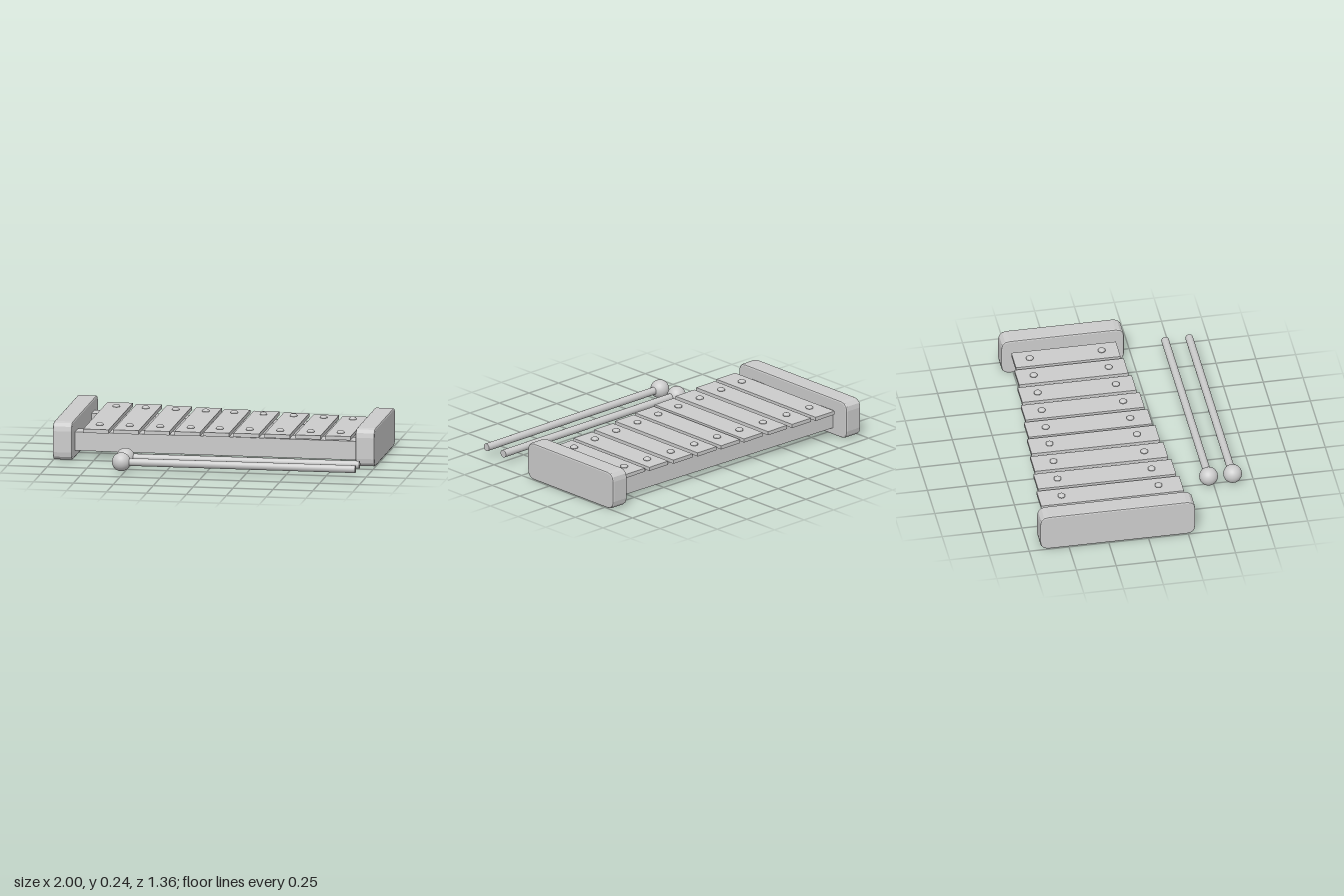
import * as THREE from 'three';

const material = new THREE.MeshStandardMaterial({ color: 0xcccccc });
const flatMaterial = new THREE.MeshStandardMaterial({ color: 0xcccccc, flatShading: true });
const lerp = THREE.MathUtils.lerp;

function add(parent, name, geometry, x, y, z, mat = material) {
  const mesh = new THREE.Mesh(geometry, mat);
  mesh.name = name;
  mesh.position.set(x, y, z);
  parent.add(mesh);
  return mesh;
}

// Upright end block: rounded profile across z and y, with a slight bevel on both faces
function endBlock(parent, name, x, zBack, zFront) {
  const bevel = 0.01, height = 0.24, width = 0.12, r = 0.045;
  const w = (zFront - zBack) / 2 - bevel, h = height / 2 - bevel;
  const shape = new THREE.Shape();
  shape.moveTo(-w + r, -h);
  shape.lineTo(w - r, -h);
  shape.quadraticCurveTo(w, -h, w, -h + r);
  shape.lineTo(w, h - r);
  shape.quadraticCurveTo(w, h, w - r, h);
  shape.lineTo(-w + r, h);
  shape.quadraticCurveTo(-w, h, -w, h - r);
  shape.lineTo(-w, -h + r);
  shape.quadraticCurveTo(-w, -h, -w + r, -h);
  const geometry = new THREE.ExtrudeGeometry(shape, {
    depth: width - 2 * bevel, bevelThickness: bevel, bevelSize: bevel, bevelSegments: 2, curveSegments: 3,
  });
  geometry.translate(0, 0, -width / 2 + bevel);
  geometry.rotateY(Math.PI / 2);
  add(parent, name, geometry, x, height / 2, (zBack + zFront) / 2, flatMaterial);
}

// Rail running between the blocks, sheared so its ends stay square to x
function rail(parent, name, zLeft, zRight) {
  const geometry = new THREE.BoxGeometry(1.8, 0.118, 0.115);
  const p = geometry.attributes.position;
  for (let i = 0; i < p.count; i++) {
    const t = p.getX(i) / 1.8 + 0.5;
    p.setY(i, p.getY(i) + lerp(0.104, 0.083, t));
    p.setZ(i, p.getZ(i) + lerp(zLeft, zRight, t));
  }
  geometry.computeVertexNormals();
  add(parent, name, geometry, 0, 0, 0);
}

// Mallet lying along x: ball head on a round stick
function mallet(parent, z) {
  const group = new THREE.Group();
  group.name = 'mallet';
  add(group, 'malletHead', new THREE.SphereGeometry(0.058, 28, 18), -0.515, 0.07, z);
  const stick = new THREE.CylinderGeometry(0.024, 0.024, 1.47, 20).rotateZ(Math.PI / 2);
  add(group, 'malletStick', stick, 0.218, 0.07, z);
  parent.add(group);
}

export function createModel() {
  const model = new THREE.Group();
  model.name = 'xylophone';

  endBlock(model, 'largeEndBlock', -0.94, -0.68, 0.295);
  endBlock(model, 'smallEndBlock', 0.94, -0.575, 0.197);
  rail(model, 'backRail', -0.498, -0.412);
  rail(model, 'frontRail', 0.117, 0.028);

  // Pin: slim shank through the bar with a low domed head
  const pinProfile = [
    [0, -0.045], [0.014, -0.045], [0.014, 0.012], [0.023, 0.013],
    [0.023, 0.02], [0.018, 0.026], [0.009, 0.029], [0, 0.03],
  ].map(([r, y]) => new THREE.Vector2(r, y));
  const pinGeometry = new THREE.LatheGeometry(pinProfile, 18);

  // Bars shorten and drop slightly towards the small end
  const barX = [-0.735, -0.55, -0.36, -0.17, 0.01, 0.195, 0.385, 0.575, 0.76];
  barX.forEach((x, i) => {
    const t = (x - barX[0]) / (barX[8] - barX[0]);
    const y = lerp(0.186, 0.169, t);
    const back = lerp(-0.64, -0.52, t), front = lerp(0.257, 0.137, t);
    const note = new THREE.Group();
    note.name = 'note' + (i + 1);
    add(note, 'bar', new THREE.BoxGeometry(0.16, 0.024, front - back), x, y, (back + front) / 2);
    add(note, 'backPin', pinGeometry, x, y, lerp(-0.498, -0.419, t));
    add(note, 'frontPin', pinGeometry, x, y, lerp(0.112, 0.033, t));
    model.add(note);
  });

  mallet(model, 0.467);
  mallet(model, 0.618);
  return model;
}
